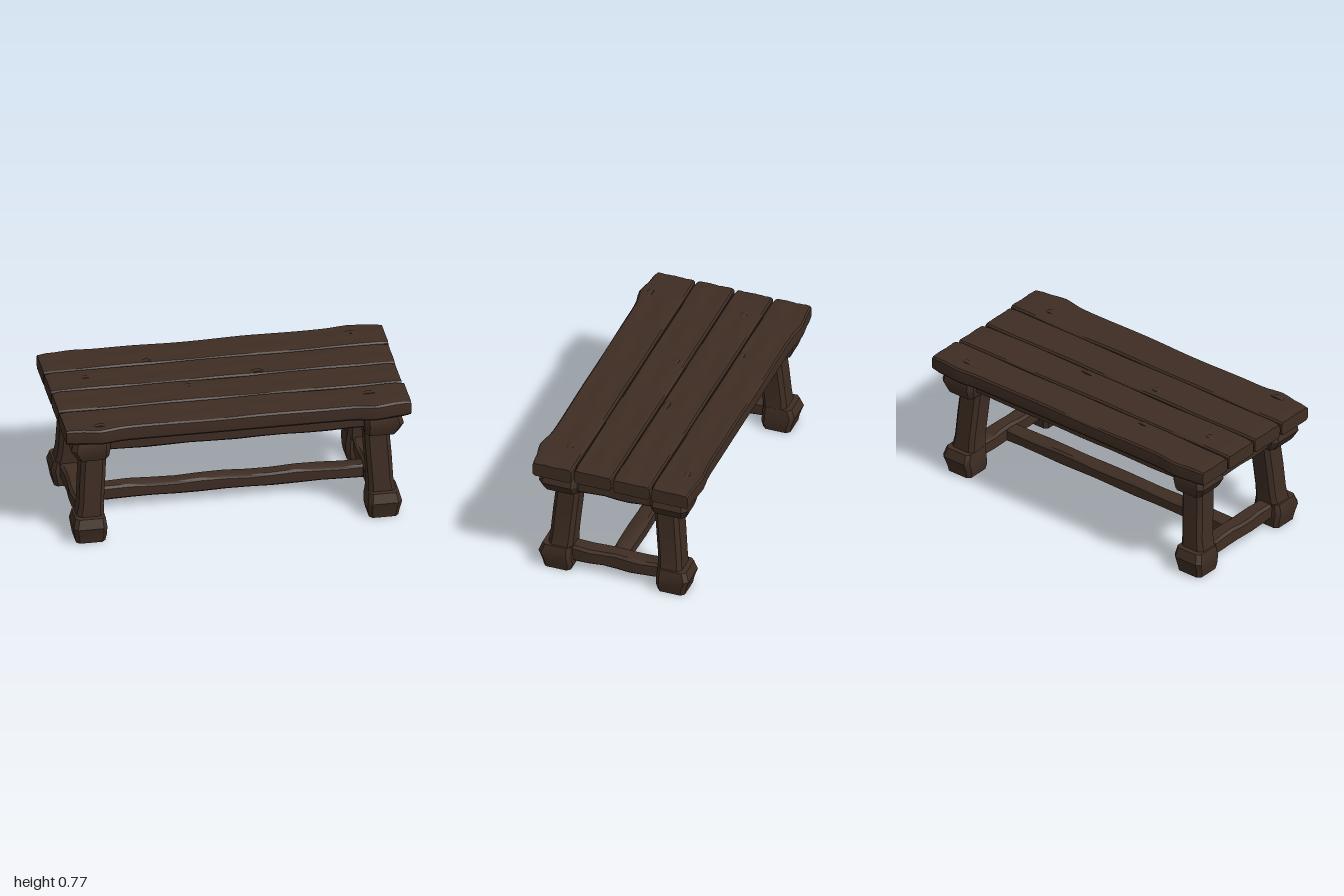
import * as THREE from 'three';
import { toCreasedNormals } from 'three/addons/utils/BufferGeometryUtils.js';

const wood = new THREE.MeshStandardMaterial({ color: 0x3e2d23 });
wood.name = 'dark brown wood';

// Unit cross-section with chamfered corners, counter-clockwise
function chamfered(c = 0.13) {
  const a = 0.5, b = 0.5 - c;
  return [[a, -b], [a, b], [b, a], [-b, a], [-a, b], [-a, -b], [-b, -a], [b, -a]];
}

// Maps (along, across u, across v) to x, y, z so that u cross v points along
const AXES = {
  x: (t, u, v) => [t, u, v],
  y: (t, u, v) => [v, t, u],
  z: (t, u, v) => [u, v, t],
};

// Joins cross-sections [t, uMin, uMax, vMin, vMax] into a closed beam
function loft(name, axis, sections, profileAt, crease = 0.55) {
  const pos = [], index = [], place = AXES[axis];
  const n = profileAt(0).length;
  for (const [t, u0, u1, v0, v1] of sections) {
    const uc = (u0 + u1) / 2, vc = (v0 + v1) / 2;
    for (const [a, b] of profileAt(t)) {
      pos.push(...place(t, uc + a * (u1 - u0), vc + b * (v1 - v0)));
    }
  }
  for (let s = 0; s < sections.length - 1; s++) {
    for (let i = 0; i < n; i++) {
      const a = s * n + i, b = s * n + (i + 1) % n;
      index.push(a, b, b + n, a, b + n, a + n);
    }
  }
  // End caps as fans around a centre point
  [0, sections.length - 1].forEach((s, end) => {
    const [t, u0, u1, v0, v1] = sections[s];
    const centre = pos.length / 3;
    pos.push(...place(t, (u0 + u1) / 2, (v0 + v1) / 2));
    for (let i = 0; i < n; i++) {
      const a = s * n + i, b = s * n + (i + 1) % n;
      if (end) index.push(centre, a, b);
      else index.push(centre, b, a);
    }
  });
  const geometry = new THREE.BufferGeometry();
  geometry.setAttribute('position', new THREE.Float32BufferAttribute(pos, 3));
  geometry.setIndex(index);
  const mesh = new THREE.Mesh(toCreasedNormals(geometry, crease), wood);
  mesh.name = name;
  return mesh;
}

// Hand-hewn rail with slightly wandering edges
function rail(name, axis, from, to, [u0, u1, v0, v1], seed, steps = 12) {
  const sections = [];
  for (let i = 0; i <= steps; i++) {
    const t = from + (to - from) * i / steps;
    const w = (k) => 0.004 * Math.sin(i * 1.7 + seed * 2.3 + k * 1.9);
    sections.push([t, u0 + w(0), u1 + w(1), v0 + w(2), v1 + w(3)]);
  }
  return loft(name, axis, sections, () => chamfered(0.15), 0.7);
}

// Upright piece given as [y, xInner, xOuter, zInner, zOuter], moved to a corner
function upright(name, sx, sz, rows, chamfer) {
  const sections = rows.map(([y, xi, xo, zi, zo]) => [
    y,
    Math.min(sz * zi, sz * zo), Math.max(sz * zi, sz * zo),
    Math.min(sx * xi, sx * xo), Math.max(sx * xi, sx * xo),
  ]);
  return loft(name, 'y', sections, () => chamfered(chamfer));
}

// Plank cross-section (u is up, v is depth): grained top and bulging sides
function plankProfile(seed) {
  return (x) => {
    const top = [];
    for (let i = 0; i <= 10; i++) {
      const v = 0.45 - i * 0.09;
      const ridge = (i % 2 ? 1 : -1) * Math.max(0, Math.sin(x * 5 + i * 2.1 + seed * 3));
      top.push([0.47 + 0.03 * ridge, v]);
    }
    return [[-0.5, -0.44], ...[], [0.36, -0.49], ...top.reverse(), [0.36, 0.49],
      [0, 0.5], [-0.36, 0.49], [-0.5, 0.44], [-0.5, 0], [-0.5, -0.44]]
      .slice(1).concat([[-0.36, -0.49], [0, -0.5]]);
  };
}

function tabletop() {
  const group = new THREE.Group();
  group.name = 'tabletop';
  const edges = [-0.485, -0.25, -0.015, 0.225, 0.475];
  const ends = [1, 0.995, 0.99, 1];
  for (let p = 0; p < 4; p++) {
    const sections = [];
    const steps = 40;
    for (let i = 0; i <= steps; i++) {
      const x = -1 + (1 + ends[p]) * i / steps;
      // Outer edges swell above the legs; plank ends are slightly worn
      const swell = 0.025 * Math.exp(-(((Math.abs(x) - 0.8) / 0.08) ** 2));
      const worn = i === 0 || i === steps ? 0.006 : 0;
      const wave = 0.002 * Math.sin(x * 9 + p * 2);
      sections.push([x, 0.662 + worn, 0.761 - worn + wave,
        edges[p] + worn - (p === 0 ? swell * 0.6 : 0),
        edges[p + 1] - worn + (p === 3 ? swell : 0)]);
    }
    group.add(loft('plank', 'x', sections, plankProfile(p), 0.5));
  }
  // Raised splinters along the board faces
  for (const [x, z, len] of [[-0.8, 0.43, 0.1], [0.78, 0.32, 0.12], [-0.4, -0.28, 0.1],
    [0.2, -0.05, 0.1], [-0.22, 0.05, 0.08], [0.8, -0.4, 0.12], [-0.78, -0.15, 0.1]]) {
    group.add(loft('splinter', 'x', [
      [x - len / 2, 0.752, 0.756, z - 0.008, z + 0.008],
      [x, 0.75, 0.769, z - 0.018, z + 0.018],
      [x + len / 2, 0.752, 0.756, z - 0.008, z + 0.008],
    ], () => chamfered(0.25), 0.7));
  }
  return group;
}

function leg(sx, sz) {
  const group = new THREE.Group();
  group.name = 'leg';
  // Foot block
  group.add(upright('foot', sx, sz, [
    [0, 0.765, 0.935, 0.265, 0.43],
    [0.04, 0.757, 0.942, 0.255, 0.437],
    [0.1, 0.757, 0.953, 0.26, 0.458],
    [0.155, 0.765, 0.938, 0.265, 0.437],
  ], 0.12));
  // Leaning post
  group.add(upright('post', sx, sz, [
    [0.13, 0.765, 0.932, 0.262, 0.408],
    [0.22, 0.768, 0.912, 0.257, 0.4],
    [0.38, 0.757, 0.904, 0.243, 0.387],
    [0.5, 0.75, 0.895, 0.232, 0.376],
    [0.57, 0.74, 0.895, 0.226, 0.372],
  ], 0.16));
  // Head block under the top
  group.add(upright('head', sx, sz, [
    [0.533, 0.752, 0.925, 0.232, 0.432],
    [0.55, 0.742, 0.937, 0.225, 0.438],
    [0.6, 0.738, 0.965, 0.222, 0.452],
    [0.645, 0.738, 0.952, 0.222, 0.446],
    [0.67, 0.745, 0.945, 0.228, 0.438],
  ], 0.12));
  return group;
}

export function createModel() {
  const model = new THREE.Group();
  model.name = 'table';
  model.add(tabletop());

  for (const s of [-1, 1]) {
    for (const sz of [-1, 1]) model.add(leg(s, sz));
    // Long apron along each side
    model.add(rail('longApron', 'x', -0.8, 0.8, [0.567, 0.668, s * 0.335 - 0.065, s * 0.335 + 0.065], s + 2));
    // Short apron and low stretcher at each end
    model.add(rail('endApron', 'z', -0.3, 0.3, [s * 0.835 - 0.07, s * 0.835 + 0.07, 0.537, 0.668], s + 5, 8));
    model.add(rail('endStretcher', 'z', -0.32, 0.32, [s * 0.85 - 0.052, s * 0.85 + 0.052, 0.052, 0.15], s + 8, 8));
  }
  // Central stretcher between the ends
  model.add(rail('centreStretcher', 'x', -0.83, 0.83, [0.056, 0.138, -0.05, 0.05], 4));
  return model;
}
